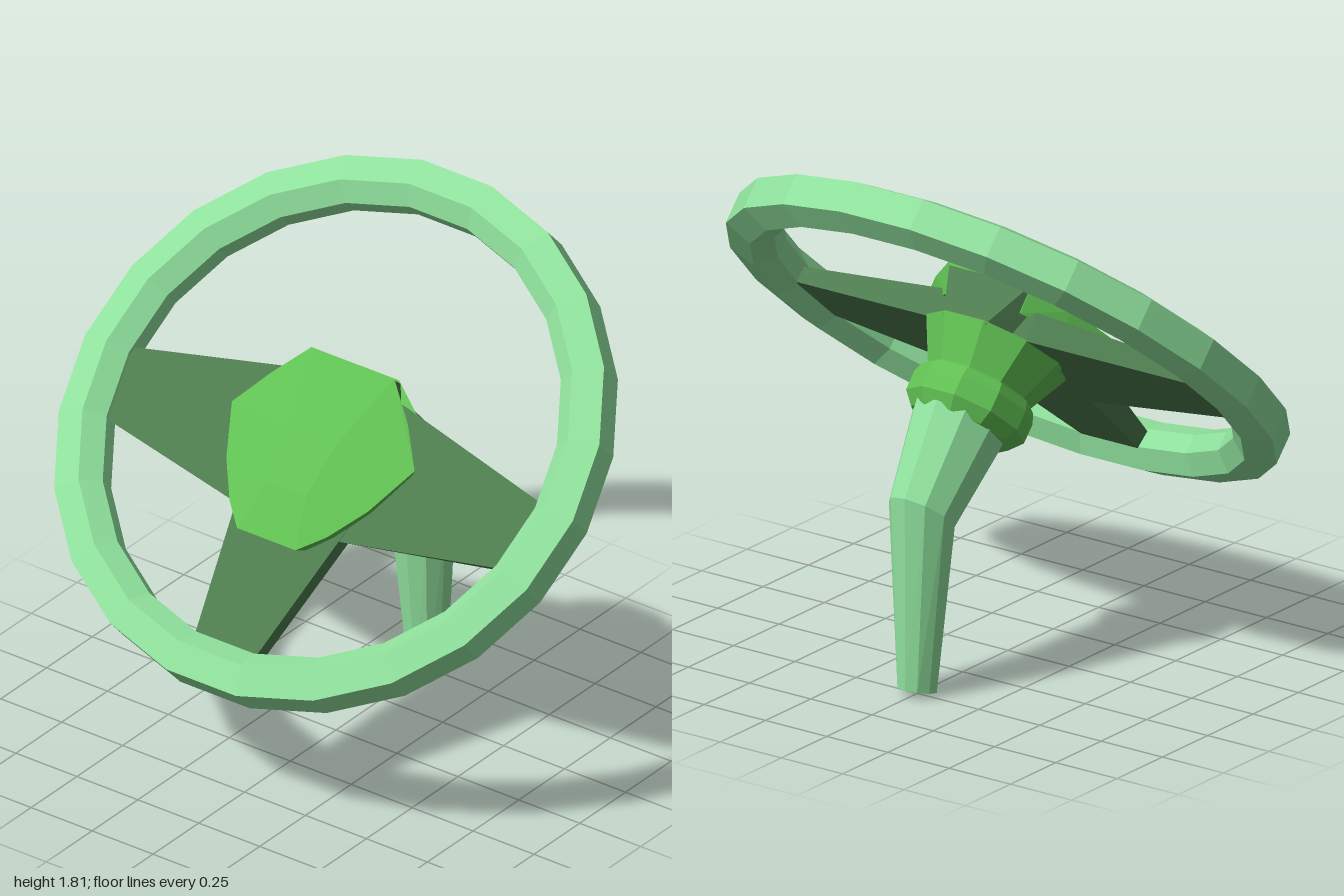
import * as THREE from 'three';
import { ConvexGeometry } from 'three/addons/geometries/ConvexGeometry.js';

const makeMaterial = (name, color) => {
  const m = new THREE.MeshStandardMaterial({ color, flatShading: true });
  m.name = name;
  return m;
};

export function createModel() {
  const rimGreen = makeMaterial('light green', 0x8fe09c);
  const hubGreen = makeMaterial('leaf green', 0x60c052);
  const spokeGreen = makeMaterial('dark green', 0x4d7b4e);

  const model = new THREE.Group();
  model.name = 'steeringWheel';
  // Tilted frame: y is the wheel axis, z runs down the wheel face
  const wheel = new THREE.Group();
  wheel.name = 'wheel';
  wheel.position.set(0, 1.13, 0);
  wheel.rotation.x = THREE.MathUtils.degToRad(42.5);
  model.add(wheel);

  const add = (parent, name, geometry, material) => {
    const mesh = new THREE.Mesh(geometry, material);
    mesh.name = name;
    parent.add(mesh);
    return mesh;
  };
  const hull = (points) => new ConvexGeometry(points.map((p) => new THREE.Vector3(...p)));
  // Both mirror images of each [x, y, z]
  const mirrored = (points) => points.flatMap(([x, y, z]) => [[x, y, z], [-x, y, z]]);
  const lathe = (profile, sides, start) =>
    new THREE.LatheGeometry(profile.map(([r, y]) => new THREE.Vector2(r, y)), sides, start);

  // Rim: six-sided tube swept in 22 steps
  const rimProfile = [
    [0.958, -0.056], [0.958, 0.056], [0.86, 0.088],
    [0.798, 0.034], [0.798, -0.034], [0.86, -0.088], [0.958, -0.056],
  ];
  const rimGeometry = new THREE.LatheGeometry(
    rimProfile.map(([r, y]) => new THREE.Vector2(r, y)), 22, Math.PI / 2);
  rimGeometry.scale(1.044, 1, 1);
  add(wheel, 'rim', rimGeometry, rimGreen);

  // Side spokes: one double-tapered bar
  add(wheel, 'sideSpokes', hull(mirrored([
    [0.2, 0.024, -0.165], [0.2, 0.024, 0.34], [0.2, -0.08, -0.165], [0.2, -0.08, 0.3],
    [0.86, 0.02, -0.02], [0.86, 0.02, 0.22], [0.86, -0.035, -0.02], [0.86, -0.035, 0.21],
  ])), spokeGreen);

  // Lower spoke
  add(wheel, 'lowerSpoke', hull(mirrored([
    [0.275, 0.026, 0], [0.24, -0.085, 0],
    [0.118, 0.026, 0.83], [0.11, -0.035, 0.83],
  ])), spokeGreen);

  // Tapered block behind the top of the pad
  add(wheel, 'upperBracket', hull(mirrored([
    [0.165, 0.09, -0.22], [0.085, -0.085, -0.25],
    [0.25, 0.05, -0.05], [0.2, -0.085, -0.05],
  ])), spokeGreen);

  // Pad: faceted shallow dome
  const padRing = [
    [0.17, 0.105, -0.222], [0.28, 0.08, -0.1], [0.375, 0.065, 0.035],
    [0.29, 0.075, 0.22], [0.2, 0.085, 0.35], [0.12, 0.095, 0.43],
  ];
  const padBase = padRing.map(([x, , z]) => [x * 0.9, 0, 0.09 + (z - 0.09) * 0.9]);
  const padTop = [[0.1, 0.13, 0.055], [0.08, 0.124, 0.253]];
  add(wheel, 'pad', hull(mirrored([...padRing, ...padBase, ...padTop])), hubGreen);

  // Hub cone and collar behind the spokes
  const hub = add(wheel, 'hubCone', lathe(
    [[0, -0.25], [0.18, -0.25], [0.185, -0.22], [0.255, -0.075], [0, -0.075]], 10, Math.PI / 10), hubGreen);
  hub.position.z = -0.015;
  const collar = add(wheel, 'collar', lathe(
    [[0, -0.38], [0.175, -0.38], [0.213, -0.335], [0.213, -0.265], [0.2, -0.23], [0, -0.23]],
    10, Math.PI / 10), hubGreen);
  collar.position.z = -0.015;

  // Column: two tapered lengths meeting at a bend
  const ring = (y, z, dy, dz, r) => Array.from({ length: 10 }, (_, i) => {
    const a = ((i + 0.5) / 10) * Math.PI * 2;
    return [Math.cos(a) * r, y + Math.sin(a) * dy * 1.04, z + Math.sin(a) * dz * 1.04];
  });
  const top = ring(0.89, -0.258, 0.103, -0.13, 0.168);
  const bend = ring(0.624, -0.475, 0.077, -0.091, 0.119);
  const foot = ring(0.016, -0.501, 0.014, -0.065, 0.068);
  add(model, 'upperColumn', hull([...top, ...bend]), rimGreen);
  add(model, 'lowerColumn', hull([...bend, ...foot]), rimGreen);

  return model;
}
